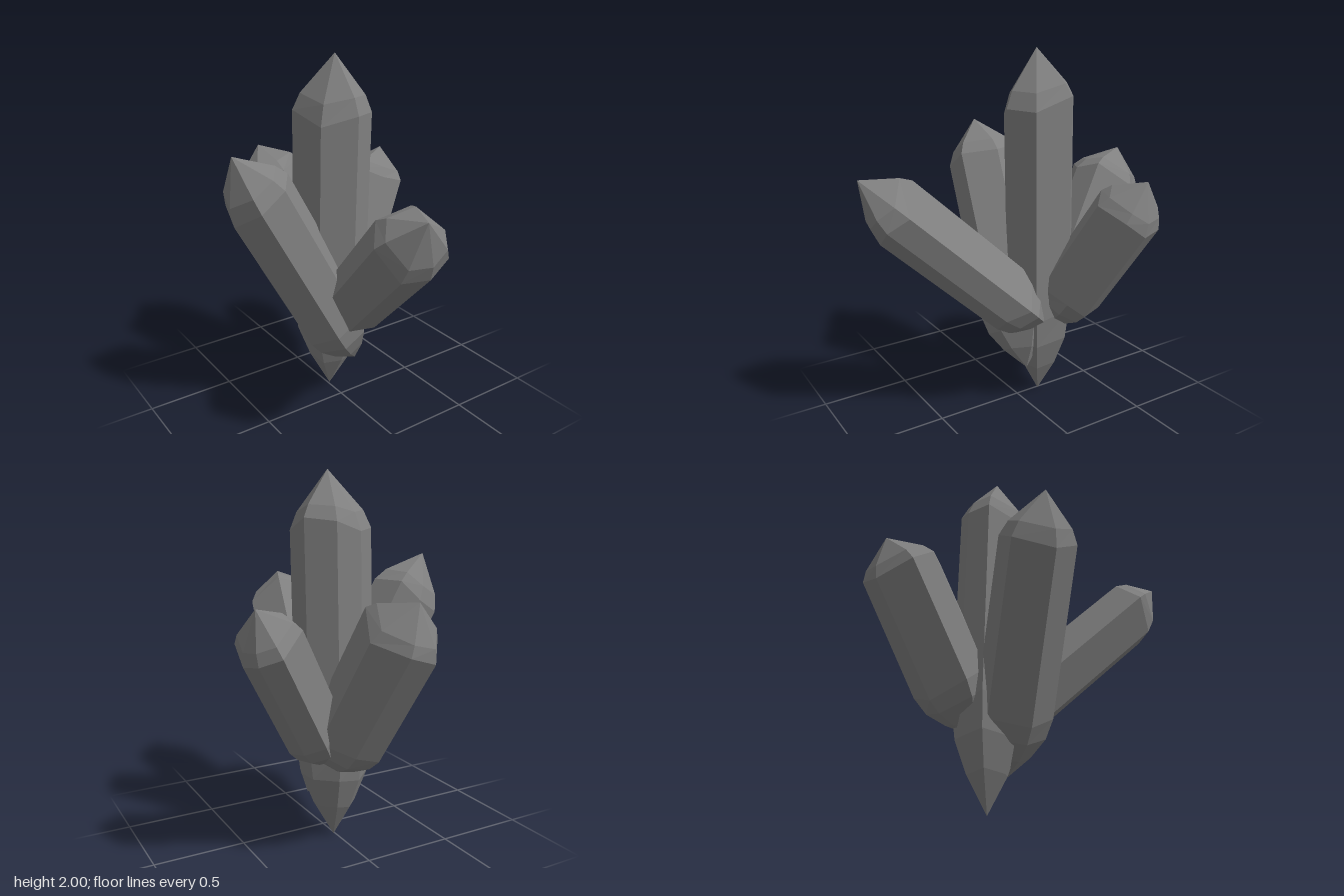
import * as THREE from 'three';

// Irregular seven-sided cross-section (x, z) with unit mean radius
const SECTION = [
  [-1.0, -0.62], [-0.4, -1.06], [0.32, -1.04], [1.0, -0.48],
  [0.88, 0.62], [0.1, 1.06], [-0.82, 0.58],
];

const material = new THREE.MeshStandardMaterial({ color: 0x808080, flatShading: true });

// Each crystal: root point, tip point, radius, taper lengths, section turn, seed, and slant [x, z] of its upper shoulder
const CRYSTALS = [
  { name: 'centralCrystal', root: [0.01, 0, -0.14], tip: [0.03, 2, -0.1], radius: 0.19, rootLength: 0.5, tipLength: 0.3, turn: 0, seed: 1, slant: [0.2, -0.12] },
  { name: 'rightCrystal', root: [0.1, 0.22, 0], tip: [-0.6, 1.55, -0.08], radius: 0.19, rootLength: 0.3, tipLength: 0.26, turn: 0.5, seed: 2, slant: [0.12, 0] },
  { name: 'frontCrystal', root: [0.1, 0.46, -0.13], tip: [-0.13, 1.39, 0.85], radius: 0.18, rootLength: 0.25, tipLength: 0.24, turn: 2.7, seed: 3, slant: [0, -0.15] },
  { name: 'leftCrystal', root: [0.055, 0.45, -0.18], tip: [0.58, 1.36, -0.41], radius: 0.167, rootLength: 0.24, tipLength: 0.2, turn: 1.2, seed: 4, slant: [0, 0] },
  { name: 'backCrystal', root: [0.06, 0.41, -0.2], tip: [-0.08, 1.39, -0.77], radius: 0.195, rootLength: 0.25, tipLength: 0.2, turn: 3.6, seed: 5, slant: [0, 0] },
];

// Lofted prism along y with a faceted taper at both ends
function crystalGeometry(length, { radius, rootLength, tipLength, turn, seed, slant }) {
  const n = SECTION.length;
  // [height, relative radius, unevenness, share of slant]
  const rings = [
    [rootLength * 0.4, 0.54, 0.01, 0],
    [rootLength * 0.75, 0.86, 0.015, 0],
    [rootLength * 1.1, 0.98, 0.03, 0],
    [length - tipLength, 0.99, 0.025, 1],
    [length - tipLength * 0.7, 0.81, 0.015, 0.7],
  ];
  const positions = [0, 0, 0];
  for (const [height, scale, uneven, share] of rings) {
    SECTION.forEach(([sx, sz], i) => {
      const r = radius * scale;
      const x = r * (sx * Math.cos(turn) - sz * Math.sin(turn));
      const z = r * (sx * Math.sin(turn) + sz * Math.cos(turn));
      const tilt = share * (x * slant[0] + z * slant[1]);
      positions.push(x, height + tilt + uneven * Math.sin(i * 2.4 + seed * 1.7), z);
    });
  }
  positions.push(0, length, 0);

  const last = 1 + rings.length * n;
  const index = [];
  for (let i = 0; i < n; i++) {
    const j = (i + 1) % n;
    index.push(0, 1 + i, 1 + j); // root point
    for (let k = 0; k < rings.length - 1; k++) {
      const a = 1 + k * n + i, b = 1 + k * n + j;
      index.push(a, a + n, b, b, a + n, b + n);
    }
    index.push(last - n + i, last, last - n + j); // tip point
  }
  const geometry = new THREE.BufferGeometry();
  geometry.setAttribute('position', new THREE.Float32BufferAttribute(positions, 3));
  geometry.setIndex(index);
  geometry.computeVertexNormals();
  return geometry;
}

export function createModel() {
  const group = new THREE.Group();
  group.name = 'crystalCluster';
  for (const crystal of CRYSTALS) {
    const root = new THREE.Vector3(...crystal.root);
    const axis = new THREE.Vector3(...crystal.tip).sub(root);
    const mesh = new THREE.Mesh(crystalGeometry(axis.length(), crystal), material);
    mesh.name = crystal.name;
    mesh.position.copy(root);
    mesh.quaternion.setFromUnitVectors(new THREE.Vector3(0, 1, 0), axis.normalize());
    group.add(mesh);
  }
  return group;
}
